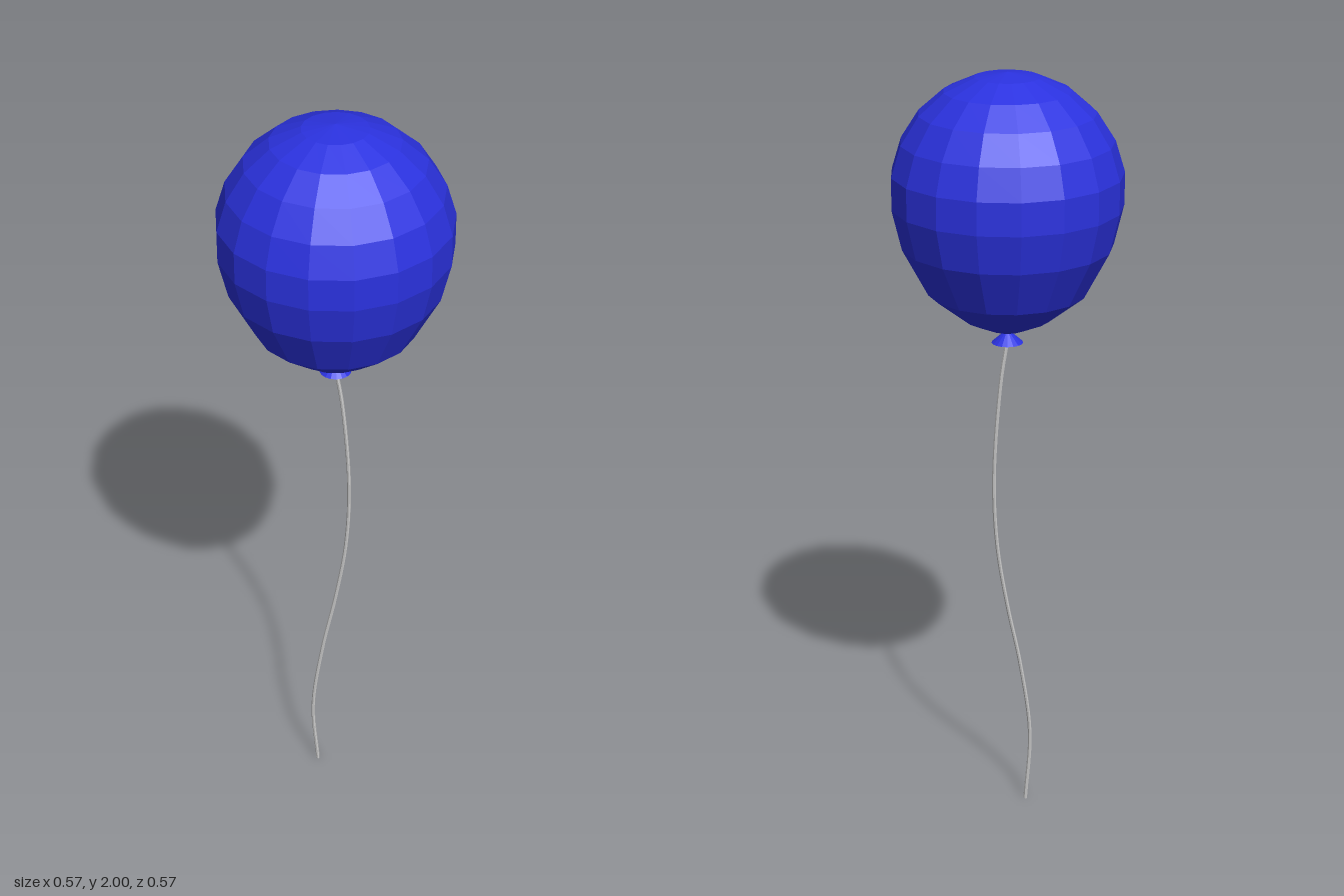
import * as THREE from 'three';

export function createModel() {
  const model = new THREE.Group();
  const blue = new THREE.MeshStandardMaterial({ color: 0x2b32e0, flatShading: true });
  const grey = new THREE.MeshStandardMaterial({ color: 0xcccccc, flatShading: true, side: THREE.DoubleSide });

  function add(name, geometry, material) {
    const mesh = new THREE.Mesh(geometry, material);
    mesh.name = name;
    model.add(mesh);
    return mesh;
  }

  // Balloon: round crown narrowing towards the neck, profile from bottom to top
  const profile = [
    [0, 1.345], [0.048, 1.352], [0.11, 1.38], [0.2, 1.45], [0.264, 1.57], [0.288, 1.67],
    [0.288, 1.752], [0.264, 1.83], [0.219, 1.9], [0.157, 1.954], [0.081, 1.988], [0, 2],
  ].map(([r, y]) => new THREE.Vector2(r, y));
  add('balloon', new THREE.LatheGeometry(profile, 17, Math.PI / 2), blue);

  // Knot: small flared cone under the balloon
  const knot = add('knot', new THREE.CylinderGeometry(0.004, 0.04, 0.032, 17), blue);
  knot.position.y = 1.33;

  // String: wavy in x, slightly wider in z
  const path = new THREE.CatmullRomCurve3([
    [0, 1.32], [0.017, 1.21], [0.035, 0.95], [0.027, 0.76], [0, 0.585],
    [-0.035, 0.41], [-0.062, 0.2], [-0.05, 0.001],
  ].map(([x, y]) => new THREE.Vector3(x, y, 0)));
  const string = add('string', new THREE.TubeGeometry(path, 40, 0.005, 8), grey);
  string.scale.z = 1.8;

  return model;
}
